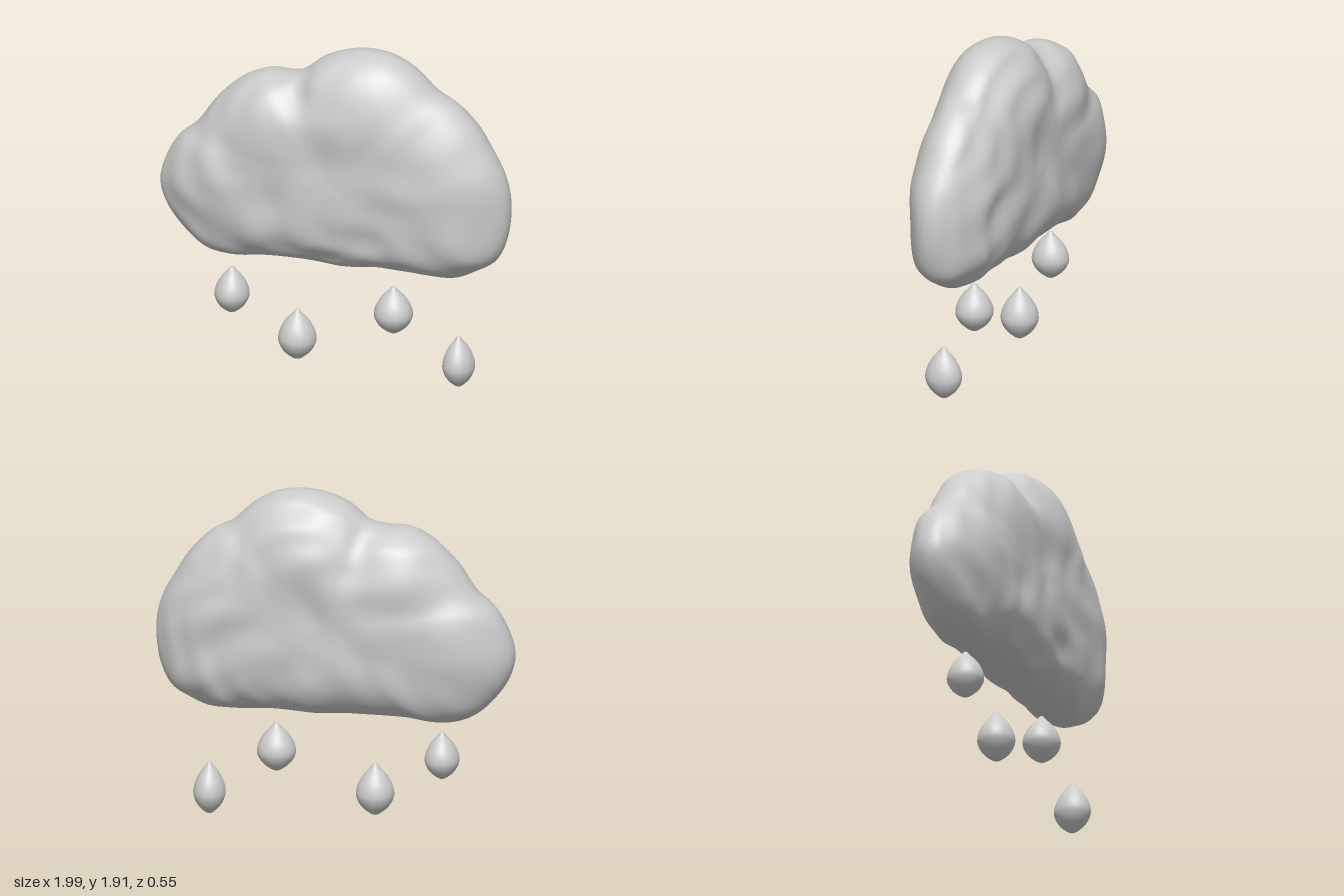
import * as THREE from 'three';
import { mergeVertices } from 'three/addons/utils/BufferGeometryUtils.js';

const material = new THREE.MeshStandardMaterial({ color: 0xcccccc });

// Cloud outline, counterclockwise from the left end
const OUTLINE = [
  [0.99, 1.1], [0.96, 1.25], [0.87, 1.42], [0.8, 1.53], [0.68, 1.65], [0.57, 1.71], [0.45, 1.82],
  [0.32, 1.89], [0.18, 1.91], [0.04, 1.89], [-0.08, 1.84], [-0.19, 1.755], [-0.29, 1.73],
  [-0.4, 1.73], [-0.52, 1.68], [-0.62, 1.6], [-0.7, 1.51], [-0.79, 1.38], [-0.9, 1.28],
  [-0.97, 1.15], [-1, 1.02], [-0.97, 0.9], [-0.9, 0.79], [-0.8, 0.69], [-0.7, 0.64],
  [-0.58, 0.627], [-0.4, 0.645], [-0.1, 0.65], [0.1, 0.637], [0.3, 0.65], [0.55, 0.64],
  [0.7, 0.645], [0.8, 0.69], [0.91, 0.76], [0.97, 0.89],
];

// Broad swellings and hollows: x, y, radius, height
const LOBES = [
  [0.2, 1.62, 0.24, 0.03], [-0.4, 1.5, 0.2, 0.025], [-0.7, 1.1, 0.2, 0.02], [0.7, 1.3, 0.22, 0.02],
  [0.1, 1.25, 0.2, -0.015], [-0.17, 1.66, 0.08, -0.03], [-0.3, 1.05, 0.13, -0.015],
  [0.25, 0.9, 0.1, -0.012], [0.75, 0.85, 0.15, 0.02], [-0.1, 0.85, 0.2, 0.012],
];

// Soft, irregular ripples of the surface
function ripple(x, y, z) {
  const a = Math.sin(7 * x + 3 * Math.sin(4 * y + z) + 2 * z);
  const b = Math.sin(9 * y - 2.5 * Math.sin(5 * x) + 5 * z);
  const c = Math.sin(17 * x + 9 * y + 2 * Math.sin(8 * y - 6 * x) + 8 * z);
  return 0.006 * a * b + 0.004 * c + 0.004 * b;
}

function makeCloud() {
  const curve = new THREE.CatmullRomCurve3(
    OUTLINE.map(([x, y]) => new THREE.Vector3(x, y, 0)), true);
  const centre = new THREE.Vector3(0, 1.2, 0);
  const depth = 0.262;

  // A sphere with its poles on z, stretched to the outline
  let geo = new THREE.SphereGeometry(1, 180, 110).rotateX(Math.PI / 2);
  geo.deleteAttribute('uv');
  geo.deleteAttribute('normal');
  geo = mergeVertices(geo, 1e-5);
  const pos = geo.attributes.position;
  const p = new THREE.Vector3();
  for (let i = 0; i < pos.count; i++) {
    p.fromBufferAttribute(pos, i);
    const turn = (Math.atan2(p.y, p.x) / (2 * Math.PI) + 1) % 1;
    const s = Math.pow(Math.min(1, Math.hypot(p.x, p.y)), 2 / 3.1);
    const face = p.z;
    p.copy(curve.getPointAt(turn)).sub(centre).multiplyScalar(s).add(centre);
    let bump = ripple(p.x, p.y, face);
    for (const [x, y, r, h] of LOBES) {
      bump += h * Math.exp(-((p.x - x) ** 2 + (p.y - y) ** 2) / (r * r));
    }
    p.z = depth * face + bump * Math.tanh(4 * face);
    pos.setXYZ(i, p.x, p.y, p.z);
  }
  geo.computeVertexNormals();
  const cloud = new THREE.Mesh(geo, material);
  cloud.name = 'cloud';
  return cloud;
}

// Raindrop of unit radius and height, standing on its lower tip
function makeDropGeometry() {
  const profile = new THREE.SplineCurve([
    [0, 0], [0.27, 0.04], [0.68, 0.16], [0.93, 0.3], [1, 0.43], [0.88, 0.6],
    [0.58, 0.78], [0.27, 0.9], [0.13, 0.97], [0, 1],
  ].map(([r, h]) => new THREE.Vector2(r, h)));
  const points = profile.getPoints(36);
  points.forEach((v) => { v.x = Math.max(0, v.x); });
  return new THREE.LatheGeometry(points, 32);
}

export function createModel() {
  const model = new THREE.Group();
  model.name = 'rainCloud';
  model.add(makeCloud());

  // Raindrops: x, bottom, height, half width
  const dropGeometry = makeDropGeometry();
  const drops = [
    [-0.587, 0.28, 0.275, 0.095], [-0.215, 0.05, 0.3, 0.105],
    [0.333, 0.27, 0.28, 0.107], [0.705, 0, 0.303, 0.088],
  ];
  drops.forEach(([x, y, height, radius], i) => {
    const drop = new THREE.Mesh(dropGeometry, material);
    drop.name = `raindrop${i + 1}`;
    drop.position.set(x, y, 0.035);
    drop.scale.set(radius, height, 0.104);
    model.add(drop);
  });
  return model;
}
